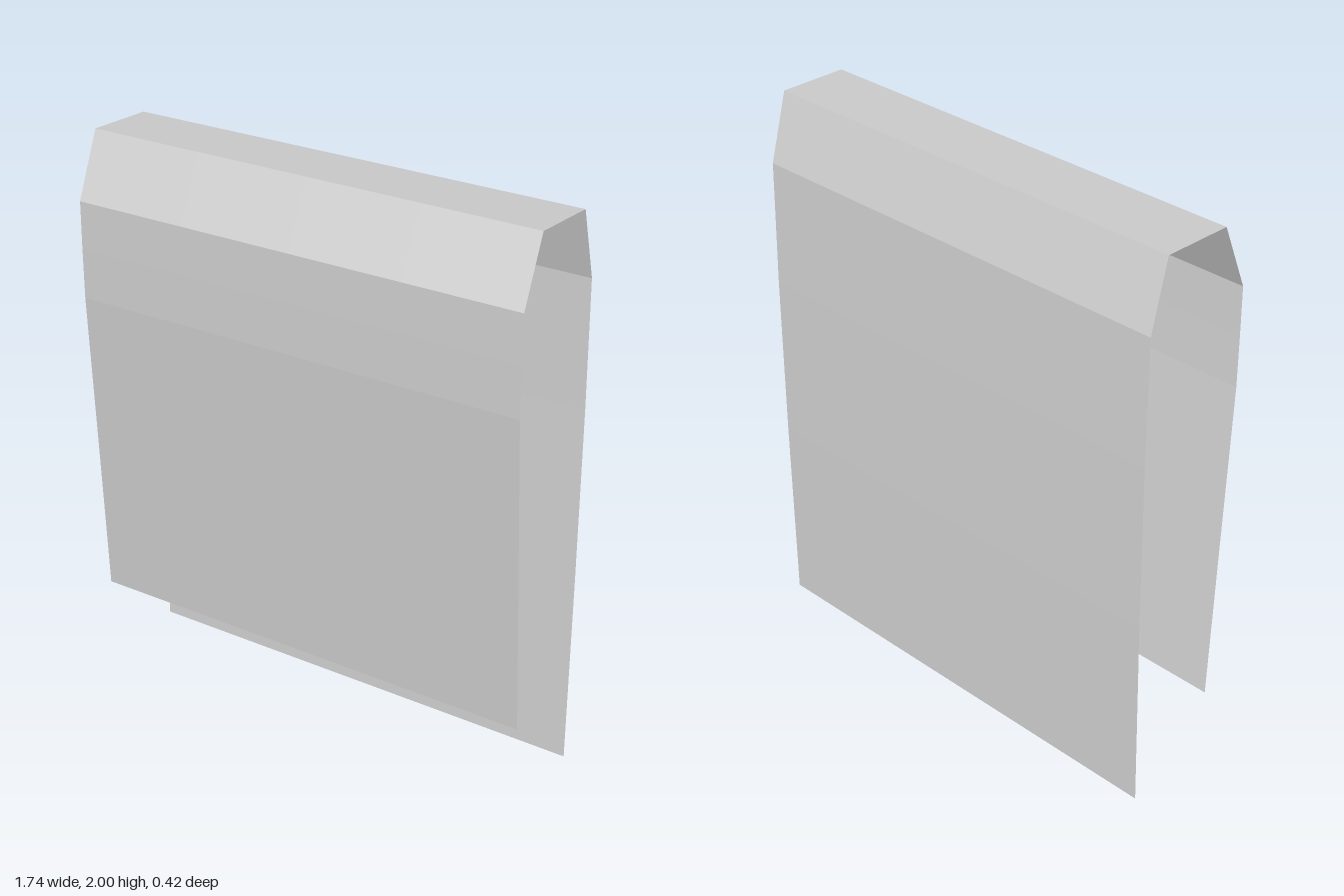
import * as THREE from 'three';

// Cross-section of the draped sheet, front hem over the top to back hem:
// [y, z, right edge x, left edge x]
const profile = [
  [0.275, 0.135, -0.872, 0.861],
  [0.85, 0.17, -0.869, 0.862],
  [1.42, 0.205, -0.867, 0.863],
  [1.6, 0.208, -0.866, 0.864],
  [1.77, 0.208, -0.866, 0.864],
  [2.0, 0.113, -0.866, 0.864],
  [1.995, -0.14, -0.866, 0.864],
  [1.75, -0.205, -0.866, 0.864],
  [1.3, -0.207, -0.865, 0.865],
  [0.7, -0.2, -0.864, 0.866],
  [0, -0.185, -0.863, 0.868],
];

// Open strip that joins the rows of the cross-section
function drapedSheet(rows, columns) {
  const positions = [];
  const index = [];
  rows.forEach(([y, z, x0, x1], r) => {
    for (let c = 0; c <= columns; c++) {
      positions.push(x0 + (x1 - x0) * c / columns, y, z);
      if (r === 0 || c === 0) continue;
      const d = r * (columns + 1) + c;
      const b = d - columns - 1;
      index.push(b - 1, b, d, b - 1, d, d - 1);
    }
  });
  const geometry = new THREE.BufferGeometry();
  geometry.setAttribute('position', new THREE.Float32BufferAttribute(positions, 3));
  geometry.setIndex(index);
  geometry.computeVertexNormals();
  return geometry;
}

export function createModel() {
  const group = new THREE.Group();
  group.name = 'foldedTowel';
  const material = new THREE.MeshStandardMaterial({
    color: 0xcccccc, flatShading: true, side: THREE.DoubleSide,
  });

  // Single thin cloth with a short front panel and a long back panel
  const cloth = new THREE.Mesh(drapedSheet(profile, 4), material);
  cloth.name = 'towelCloth';
  group.add(cloth);
  return group;
}
